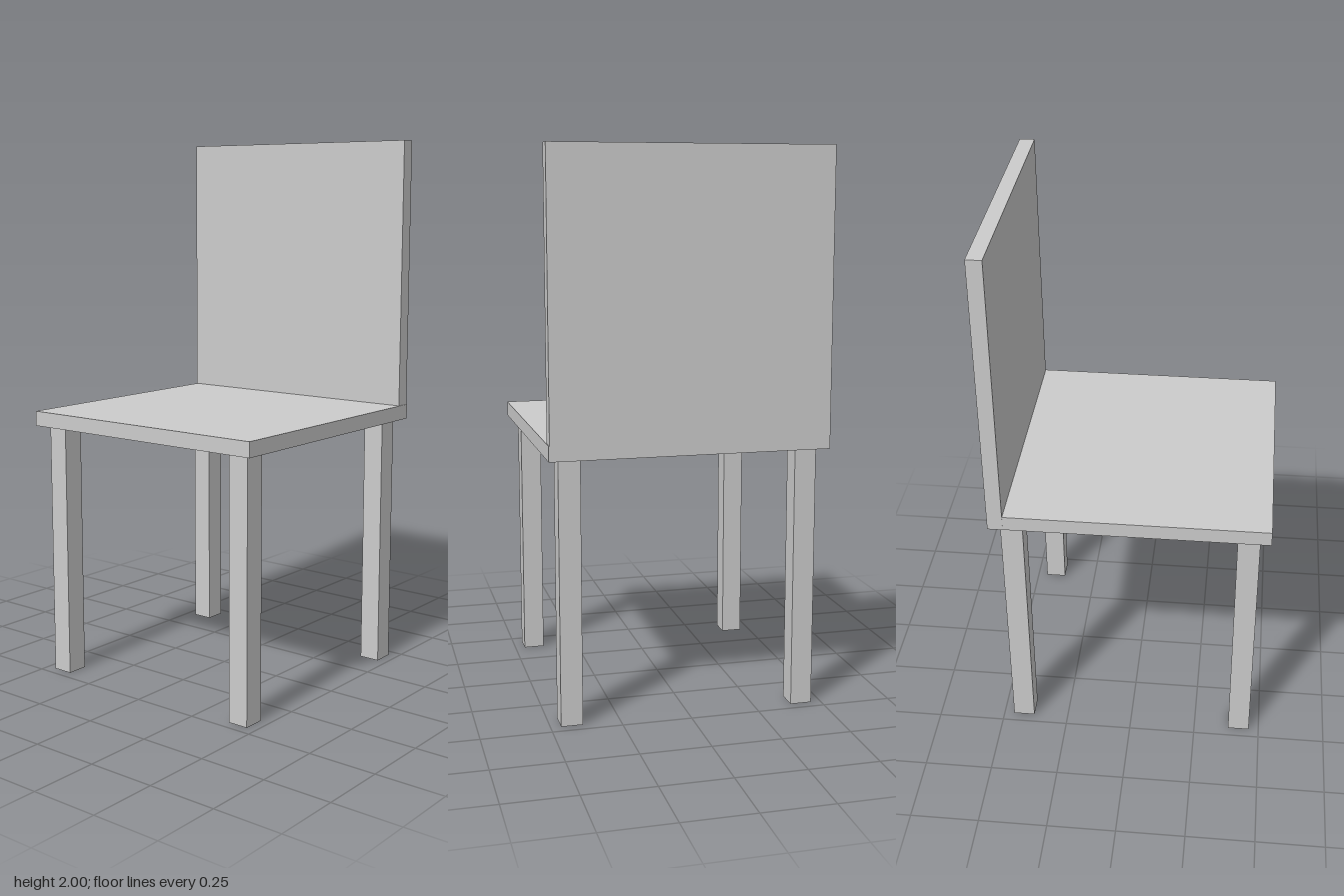
import * as THREE from 'three';

export function createModel() {
  const chair = new THREE.Group();
  chair.name = 'chair';
  const material = new THREE.MeshStandardMaterial({ color: 0xcccccc, flatShading: true });

  // Box given by its size, centre x and z, and bottom height
  function addBox(name, w, h, d, x, bottom, z) {
    const mesh = new THREE.Mesh(new THREE.BoxGeometry(w, h, d), material);
    mesh.name = name;
    mesh.position.set(x, bottom + h / 2, z);
    chair.add(mesh);
  }

  const seatBottom = 0.95;

  // Seat slab
  addBox('seat', 1, 0.055, 1, 0, seatBottom, 0);

  // Backrest panel, running down to the underside of the seat
  addBox('backrest', 0.998, 2 - seatBottom, 0.055, -0.002, seatBottom, -0.4725);

  // Four square legs, inset from the seat corners
  for (const [side, x] of [['Left', 0.424], ['Right', -0.424]]) {
    for (const [end, z] of [['front', 0.422], ['back', -0.422]]) {
      addBox(`${end}${side}Leg`, 0.078, seatBottom, 0.08, x, 0, z);
    }
  }

  return chair;
}
